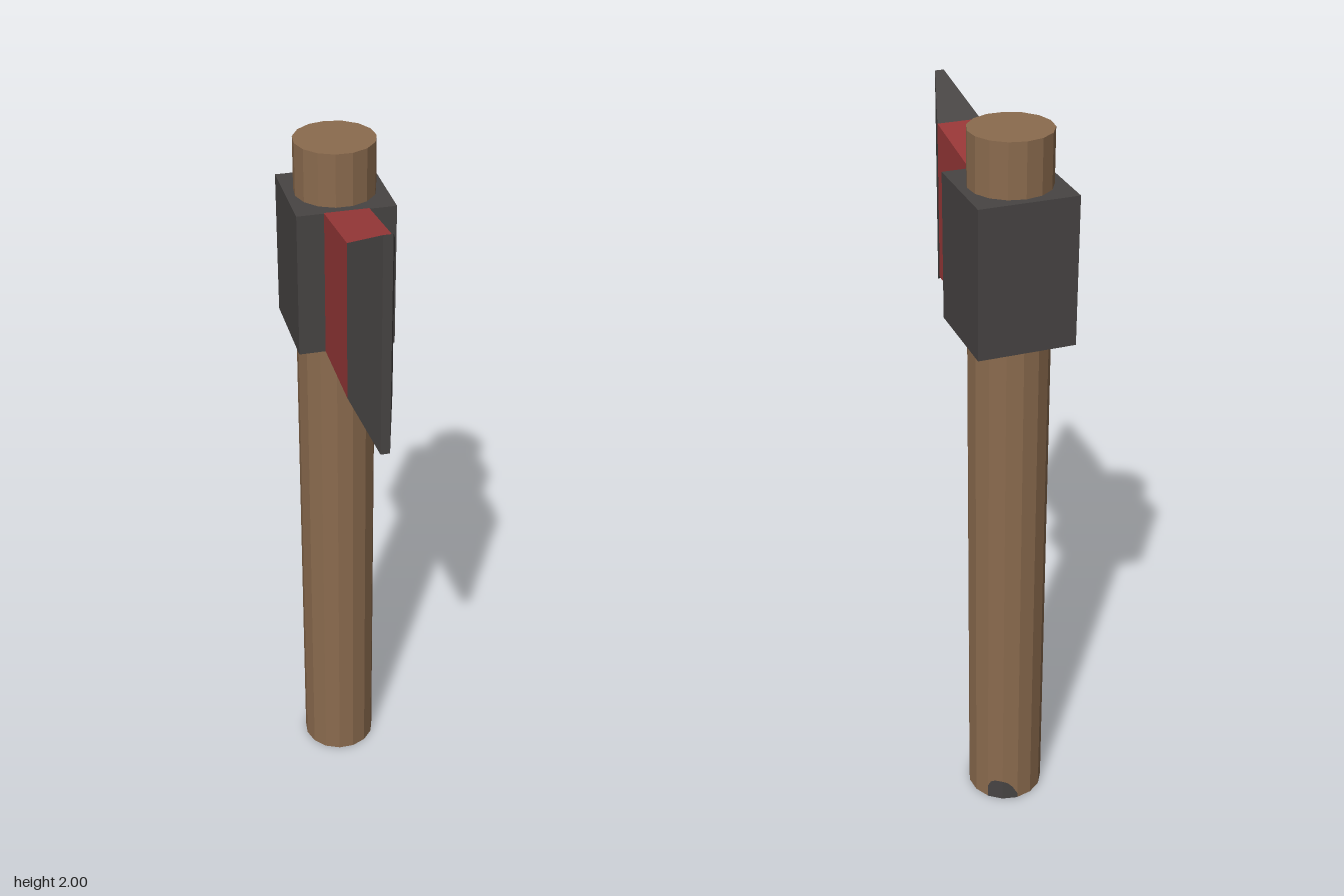
import * as THREE from 'three';

const flat = (name, color) => {
  const m = new THREE.MeshStandardMaterial({ color, flatShading: true });
  m.name = name;
  return m;
};

// Box whose back and front ends are different rectangles: { z, w, y0, y1 }
function taperedBox(back, front) {
  const g = new THREE.BoxGeometry(1, 1, 1);
  const p = g.attributes.position;
  for (let i = 0; i < p.count; i++) {
    const end = p.getZ(i) > 0 ? front : back;
    p.setXYZ(i, Math.sign(p.getX(i)) * end.w, p.getY(i) > 0 ? end.y1 : end.y0, end.z);
  }
  g.computeVertexNormals();
  return g;
}

export function createModel() {
  const group = new THREE.Group();
  const wood = flat('wood', 0x8b6b4e);
  const iron = flat('dark iron', 0x474443);
  const red = flat('red paint', 0x993838);
  const add = (name, geometry, material) => {
    const mesh = new THREE.Mesh(geometry, material);
    mesh.name = name;
    group.add(mesh);
    return mesh;
  };

  const sides = 15, radius = 0.106, handleZ = -0.195;

  // Handle, with one corner pointing straight back
  add('handle', new THREE.CylinderGeometry(radius, radius, 2, sides, 1, false, Math.PI), wood)
    .position.set(0, 1, handleZ);

  // Square collar around the handle
  add('collar', new THREE.BoxGeometry(0.256, 0.39, 0.256), iron).position.set(0, 1.665, -0.194);

  // Painted neck and flared cutting edge
  const root = { z: -0.07, w: 0.058, y0: 1.47, y1: 1.86 };
  const shoulder = { z: 0.17, w: 0.058, y0: 1.47, y1: 1.895 };
  const edge = { z: 0.322, w: 0.012, y0: 1.393, y1: 1.983 };
  add('bladeNeck', taperedBox(root, shoulder), red);
  add('bladeEdge', taperedBox(shoulder, edge), iron);

  // Dark rounded mark at the foot of the handle: [degrees from the back, height]
  const step = 360 / sides;
  const outline = [[0, 0.015], [8, 0.042], [16, 0.058], [24, 0.065], [36, 0.065], [43, 0.058], [48, 0.04]];
  const positions = [], indices = [];
  outline.forEach(([deg, height], i) => {
    // Follow the flat sides of the handle, just outside its surface
    const offset = THREE.MathUtils.degToRad((deg % step) - step / 2);
    const r = (radius + 0.001) * Math.cos(Math.PI / sides) / Math.cos(offset);
    const a = THREE.MathUtils.degToRad(deg);
    const x = Math.sin(a) * r, z = handleZ - Math.cos(a) * r;
    positions.push(x, 0, z, x, height, z);
    if (i) {
      const k = 2 * i;
      indices.push(k - 2, k - 1, k, k, k - 1, k + 1);
    }
  });
  const mark = new THREE.BufferGeometry();
  mark.setAttribute('position', new THREE.Float32BufferAttribute(positions, 3));
  mark.setIndex(indices);
  mark.computeVertexNormals();
  add('footMark', mark, iron);

  return group;
}
